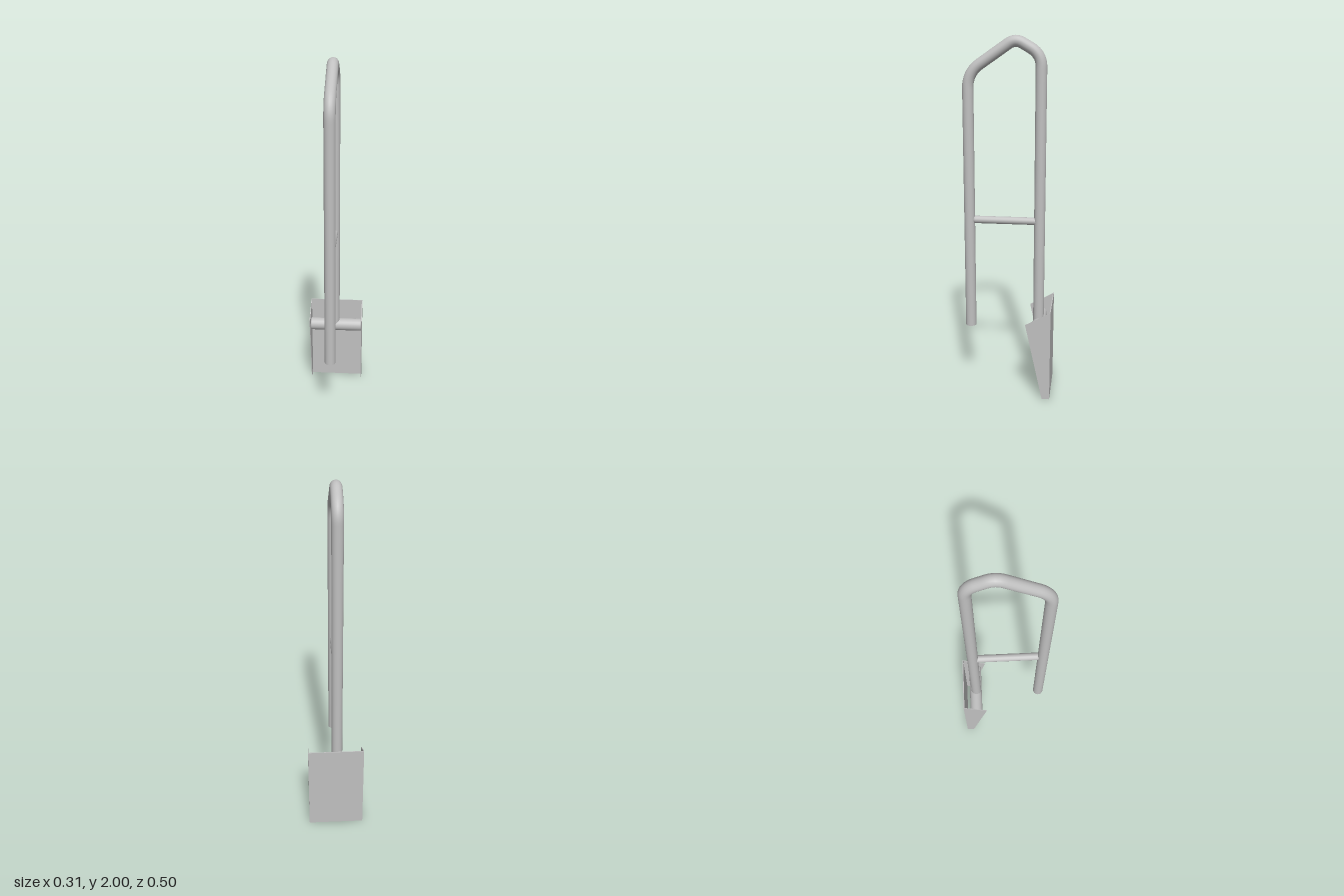
import * as THREE from 'three';

const TUBE_X = -0.009, TUBE_R = 0.0305;

// Planar path in (z, y) with rounded corners; each point is [z, y, fillet]
function roundedPath(points) {
  const path = new THREE.CurvePath();
  const v = points.map(([z, y]) => new THREE.Vector3(TUBE_X, y, z));
  let last = v[0];
  for (let i = 1; i < v.length - 1; i++) {
    const f = points[i][2];
    const toward = (p) => v[i].clone().add(p.clone().sub(v[i]).setLength(f));
    const a = toward(v[i - 1]), b = toward(v[i + 1]);
    path.add(new THREE.LineCurve3(last, a));
    path.add(new THREE.QuadraticBezierCurve3(a, v[i], b));
    last = b;
  }
  path.add(new THREE.LineCurve3(last, v[v.length - 1]));
  return path;
}

export function createModel() {
  const model = new THREE.Group();
  const steel = new THREE.MeshStandardMaterial({ color: 0xc0c0c0 });
  steel.name = 'steel grey';

  function add(name, geometry, x = 0, y = 0, z = 0) {
    const mesh = new THREE.Mesh(geometry, steel);
    mesh.name = name;
    mesh.position.set(x, y, z);
    model.add(mesh);
    return mesh;
  }

  // Bent tube: front leg, sloped handle, back leg
  const path = roundedPath([
    [0.221, 0.365],
    [0.221, 1.805, 0.08],
    [-0.034, 1.98, 0.045],
    [-0.172, 1.9, 0.065],
    [-0.172, 0.4],
  ]);
  add('bentHandleTube', new THREE.TubeGeometry(path, 220, TUBE_R, 20));

  // Closed foot of the front leg
  add('frontLegCap', new THREE.CircleGeometry(TUBE_R, 20), TUBE_X, 0.365, 0.221).rotation.x = Math.PI / 2;

  // Brace between the legs, with domed ends
  add('crossBrace', new THREE.CapsuleGeometry(0.021, 0.33, 6, 16), TUBE_X, 1.0, 0.021).rotation.x = Math.PI / 2;

  // Horizontal bar with softened rims, holding the blade
  const barProfile = [
    [0, -0.155], [0.032, -0.155], [0.0375, -0.149],
    [0.0375, 0.149], [0.032, 0.155], [0, 0.155],
  ].map(([r, h]) => new THREE.Vector2(r, h));
  add('bladeBar', new THREE.LatheGeometry(barProfile, 24), 0, 0.395, -0.176).rotation.z = -Math.PI / 2;

  // Blade: back plate and two tapering side plates
  add('bladeBack', new THREE.BoxGeometry(0.315, 0.525, 0.005), 0, 0.2625, -0.2485);

  const side = new THREE.Shape([
    [-0.251, 0], [-0.208, 0], [-0.111, 0.447], [-0.251, 0.525],
  ].map(([z, y]) => new THREE.Vector2(z, y)));
  const sideGeometry = new THREE.ExtrudeGeometry(side, { depth: 0.004, bevelEnabled: false });
  sideGeometry.translate(0, 0, -0.002).rotateY(-Math.PI / 2);
  add('bladeLeftSide', sideGeometry, 0.1555, 0, 0);
  add('bladeRightSide', sideGeometry, -0.1555, 0, 0);

  return model;
}
